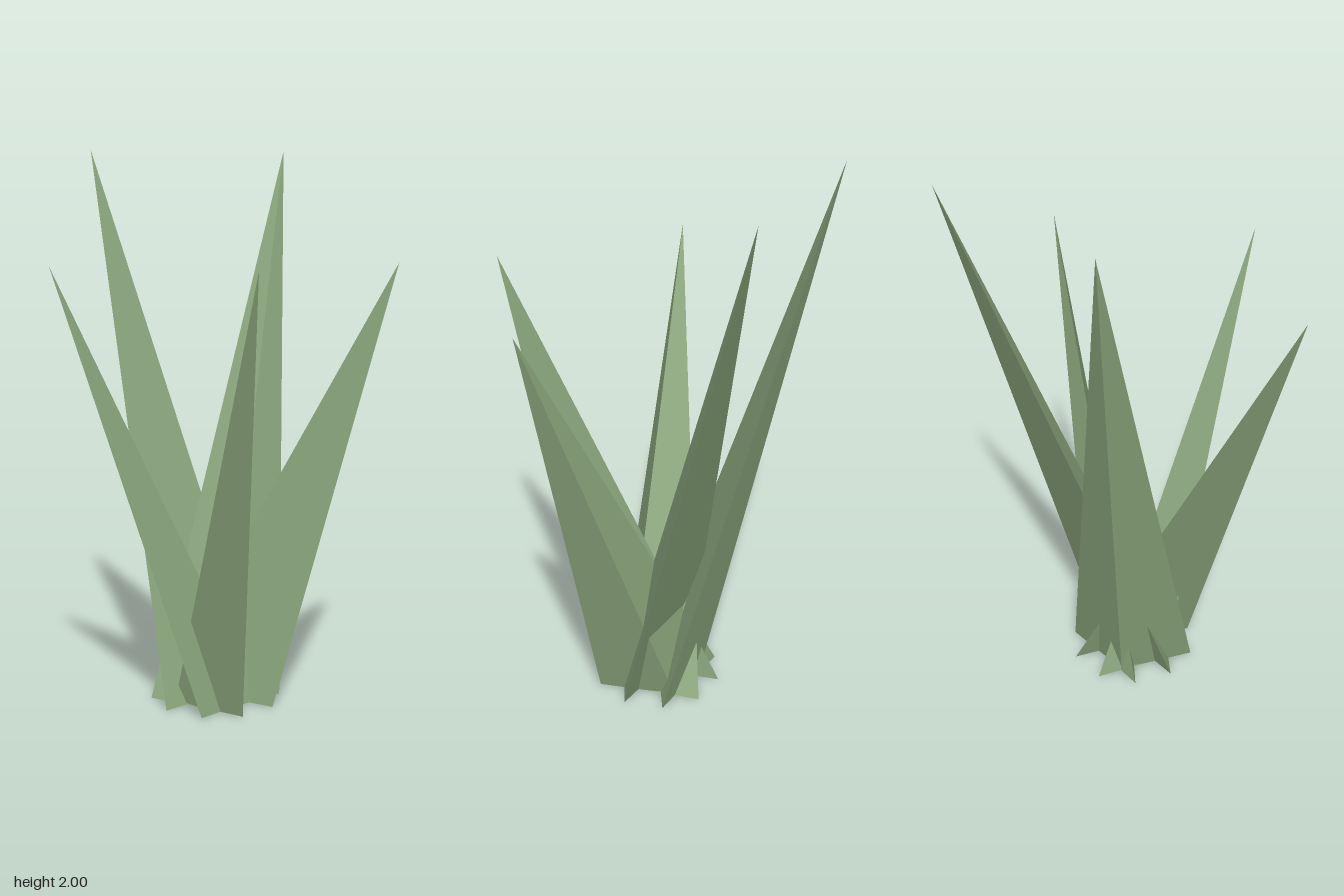
import * as THREE from 'three';

const DEG = Math.PI / 180;
const CENTRE = { x: 0.035, z: -0.035 };

// point at a given angle and radius around the clump centre
function polar(angle, radius, y) {
  return [
    CENTRE.x + radius * Math.cos(angle * DEG), y,
    CENTRE.z + radius * Math.sin(angle * DEG),
  ];
}

// open three-sided spike: a flat triangular foot drawn up to a leaning tip
function bladeGeometry(tipAngle, footAngle, height) {
  const tip = polar(tipAngle, 0.64, height);
  const foot = [
    polar(footAngle - 90, 0.238, 0),
    polar(footAngle, 0.161, 0),
    polar(footAngle + 90, 0.238, 0),
  ];
  const points = [];
  for (let i = 0; i < 3; i++) {
    points.push(...foot[(i + 1) % 3], ...foot[i], ...tip);
  }
  const geometry = new THREE.BufferGeometry();
  geometry.setAttribute('position', new THREE.Float32BufferAttribute(points, 3));
  geometry.computeVertexNormals();
  return geometry;
}

export function createModel() {
  const model = new THREE.Group();
  model.name = 'grassClump';

  const leafGreen = new THREE.MeshStandardMaterial({
    name: 'leafGreen', color: 0x8ba67c, flatShading: true, side: THREE.DoubleSide,
  });

  // five blades fanning out evenly, each foot twisted against its lean
  const heights = [1.6, 1.6, 2, 2, 1.6];
  heights.forEach((height, i) => {
    const blade = new THREE.Mesh(bladeGeometry(26 - 72 * i, 104 + 144 * i, height), leafGreen);
    blade.name = `blade${i + 1}`;
    model.add(blade);
  });

  return model;
}
